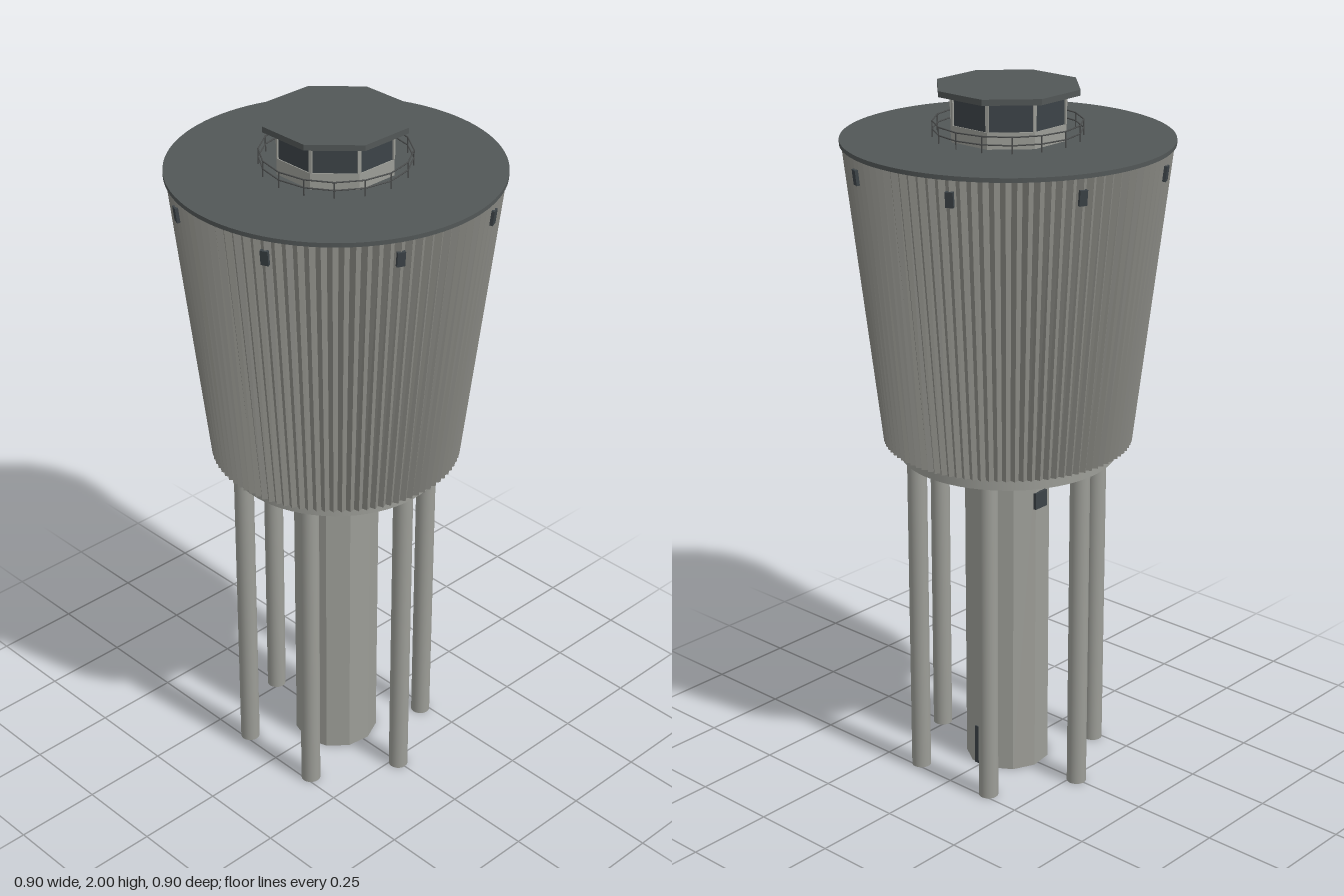
import * as THREE from 'three';

export function createModel() {
  const model = new THREE.Group();
  const mat = (name, color, side = THREE.FrontSide) => {
    const m = new THREE.MeshStandardMaterial({ color, side });
    m.name = name;
    return m;
  };
  const concrete = mat('concrete', 0x9c9d97, THREE.DoubleSide);
  const ribbed = mat('ribbedCladding', 0x8c8c86);
  const roofing = mat('roofing', 0x525757);
  const dark = mat('darkOpening', 0x3c4347);
  const railing = mat('railingMetal', 0x4a4c4c);

  const add = (name, geometry, material, x = 0, y = 0, z = 0, parent = model) => {
    const mesh = new THREE.Mesh(geometry, material);
    mesh.name = name;
    mesh.position.set(x, y, z);
    parent.add(mesh);
    return mesh;
  };
  const group = (name) => {
    const g = new THREE.Group();
    g.name = name;
    model.add(g);
    return g;
  };
  // Faceted geometry with hard edges
  const faceted = (geometry) => {
    const g = geometry.toNonIndexed();
    g.computeVertexNormals();
    return g;
  };
  const prism = (r, h, sides, start = 0, open = false) =>
    faceted(new THREE.CylinderGeometry(r, r, h, sides, 1, open, start));

  // Eleven-sided hollow core with a door and a small high window
  add('core', prism(0.122, 0.97, 11, -Math.PI / 2, true), concrete, 0, 0.485, 0);
  add('door', new THREE.BoxGeometry(0.008, 0.12, 0.042), dark, 0.117, 0.06, 0);
  add('coreWindow', new THREE.BoxGeometry(0.048, 0.048, 0.009), dark, 0, 0.84, -0.122);

  // Six round columns
  const columns = group('columns');
  for (let i = 0; i < 6; i++) {
    const a = (i * Math.PI) / 3;
    add('column', new THREE.CylinderGeometry(0.028, 0.028, 0.97, 20), concrete,
      0.267 * Math.sin(a), 0.485, 0.267 * Math.cos(a), columns);
  }

  // Ring slab under the tank
  add('baseSlab', new THREE.CylinderGeometry(0.305, 0.305, 0.042, 64), concrete, 0, 0.979, 0);

  // Flared tank with pleated ribs
  const ribs = 96;
  const tankGeometry = new THREE.CylinderGeometry(0.447, 0.349, 0.85, ribs * 2, 1);
  const p = tankGeometry.attributes.position;
  for (let i = 0; i < p.count; i++) {
    const x = p.getX(i), z = p.getZ(i), r = Math.hypot(x, z);
    if (r < 0.01) continue;
    const step = Math.round((Math.atan2(x, z) / Math.PI) * ribs);
    const k = step % 2 ? (r - 0.012) / r : 1;
    p.setX(i, x * k);
    p.setZ(i, z * k);
  }
  add('tank', faceted(tankGeometry), ribbed, 0, 1.425, 0);

  // Eight small openings below the rim
  const vents = group('tankOpenings');
  const tilt = Math.atan2(0.447 - 0.349, 0.85);
  for (let i = 0; i < 8; i++) {
    const a = ((i + 0.5) * Math.PI) / 4;
    const vent = add('tankOpening', new THREE.BoxGeometry(0.022, 0.042, 0.009), dark,
      0.44 * Math.sin(a), 1.795, 0.44 * Math.cos(a), vents);
    vent.rotation.set(tilt, a, 0, 'YXZ');
  }

  // Flat roof disc
  add('roof', new THREE.CylinderGeometry(0.4525, 0.4525, 0.012, 96), roofing, 0, 1.854, 0);

  // Octagonal lookout: low wall, glazing, corner mullions and cap
  const cabin = group('cabin');
  const oct = Math.PI / 8;
  add('cabinWall', prism(0.165, 0.045, 8, oct), concrete, 0, 1.8825, 0, cabin);
  add('cabinGlazing', prism(0.162, 0.08, 8, oct), dark, 0, 1.945, 0, cabin);
  for (let i = 0; i < 8; i++) {
    const a = oct + (i * Math.PI) / 4;
    add('mullion', new THREE.BoxGeometry(0.009, 0.08, 0.009), concrete,
      0.16 * Math.sin(a), 1.945, 0.16 * Math.cos(a), cabin).rotation.y = a;
  }
  add('cabinRoof', prism(0.2025, 0.016, 8, oct), roofing, 0, 1.992, 0, cabin);

  // Sixteen-sided guard rail around the lookout
  const guard = group('guardRail');
  for (const y of [1.882, 1.904]) {
    const ring = add('rail', new THREE.TorusGeometry(0.203, 0.002, 6, 16), railing, 0, y, 0, guard);
    ring.rotation.x = Math.PI / 2;
  }
  for (let i = 0; i < 16; i++) {
    const a = (i * Math.PI) / 8;
    add('railPost', new THREE.CylinderGeometry(0.002, 0.002, 0.048, 6), railing,
      0.203 * Math.sin(a), 1.881, 0.203 * Math.cos(a), guard);
  }
  return model;
}
